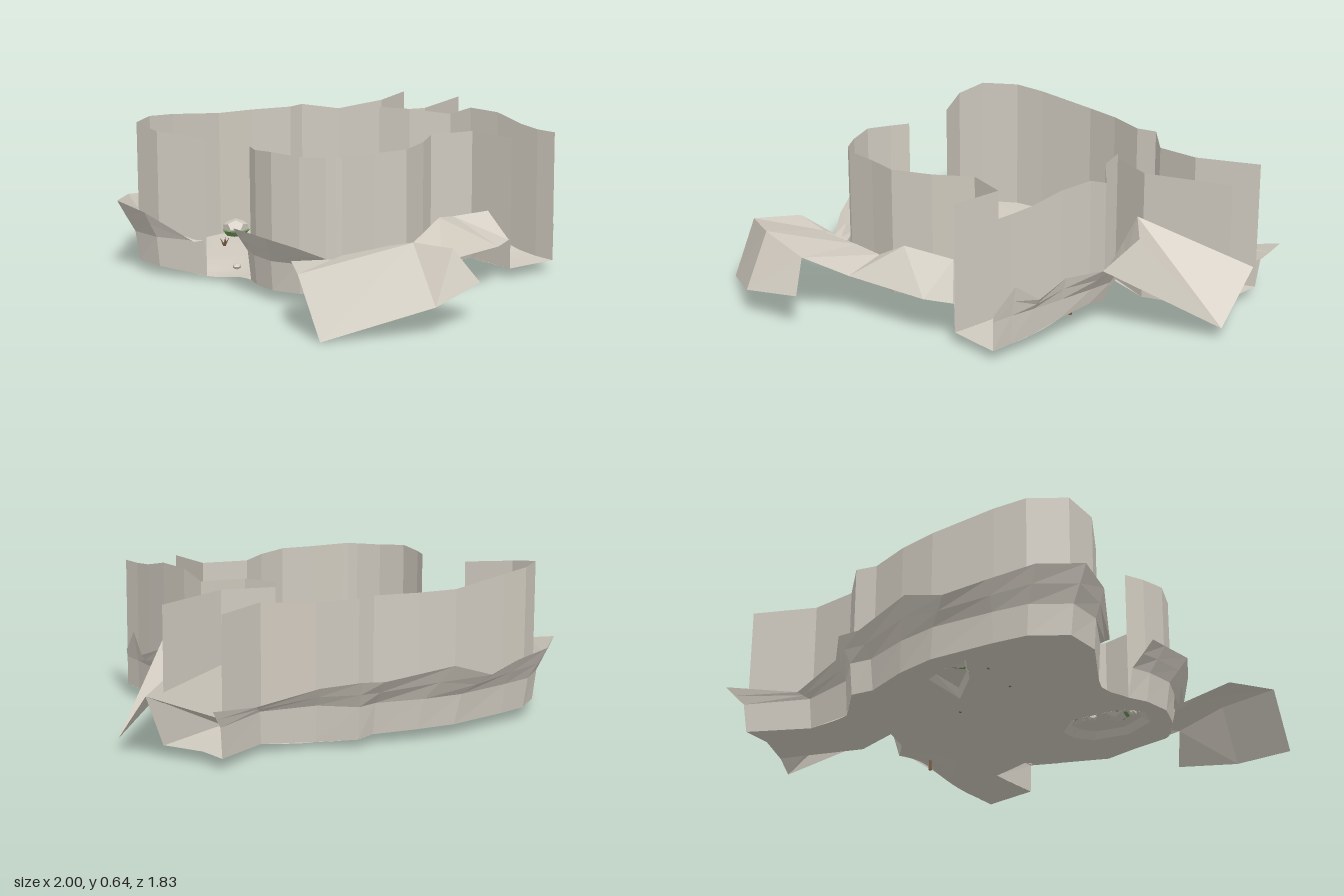
import * as THREE from 'three';

const stone = new THREE.MeshStandardMaterial({ color: 0xd0cabf, flatShading: true, side: THREE.DoubleSide });
const green = new THREE.MeshStandardMaterial({ color: 0x6f9a5a, flatShading: true });
const brown = new THREE.MeshStandardMaterial({ color: 0x7a6248, flatShading: true });
const SKIRT = 0.17;

// Rows along each cliff: inner x, inner z, outer x, outer z, outer height, wall top, (crease x, z, height)
const backCliff = [
  [-0.69, -0.36, -0.75, -0.37, 0.17, 0.6], [-0.79, -0.55, -0.85, -0.57, 0.28, 0.62],
  [-0.78, -0.7, -0.87, -0.73, 0.31, 0.64], [-0.64, -0.79, -0.72, -0.85, 0.3, 0.64],
  [-0.5, -0.81, -0.52, -0.88, 0.28, 0.63], [-0.22, -0.83, -0.34, -0.92, 0.25, 0.6],
  [-0.05, -0.8, -0.15, -0.91, 0.31, 0.6], [0.13, -0.74, 0.14, -0.83, 0.27, 0.6],
  [0.22, -0.76, 0.25, -0.82, 0.28, 0.6], [0.34, -0.64, 0.36, -0.7, 0.25, 0.58],
  [0.57, -0.59, 0.62, -0.63, 0.2, 0.6], [0.83, -0.7, 0.91, -0.757, 0.25, 0.6],
];
const rightCliff = [
  [0.33, -0.36, 0.48, -0.34, 0.2, 0.62], [0.38, -0.22, 0.54, -0.24, 0.42, 0.62],
  [0.5, -0.08, 0.68, -0.08, 0.4, 0.6], [0.51, 0.03, 0.59, 0.04, 0.27, 0.64],
  [0.5, 0.2, 0.53, 0.2, 0.27, 0.64], [0.48, 0.35, 0.52, 0.35, 0.22, 0.61],
  [0.465, 0.46, 0.49, 0.46, 0.3, 0.6], [0.46, 0.56, 0.465, 0.56, 0.2, 0.6],
];
const frontCliff = [
  [0.22, 0.53, 0.21, 0.53, 0.17, 0.6, 0.21, 0.53, 0.17], [0.24, 0.29, 0.21, 0.53, 0.17, 0.6, 0.2, 0.42, 0.28],
  [0.05, 0.23, 0.09, 0.58, 0.17, 0.6, 0.05, 0.36, 0.27], [-0.1, 0.33, -0.3, 0.63, 0.18, 0.6, -0.14, 0.46, 0.31],
  [-0.27, 0.4, -0.41, 0.79, 0.28, 0.6, -0.29, 0.46, 0.23], [-0.42, 0.37, -0.63, 0.79, 0.34, 0.6, -0.43, 0.46, 0.24],
  [-0.58, 0.35, -1, 0.55, 0.24, 0.6, -0.68, 0.45, 0.24], [-0.6, 0.34, -0.88, 0.38, 0.24, 0.6, -0.69, 0.41, 0.22],
  [-0.63, 0.31, -0.66, 0.38, 0.2, 0.6], [-0.69, 0.22, -0.75, 0.26, 0.25, 0.6],
  [-0.73, 0.1, -0.81, 0.15, 0.28, 0.61], [-0.71, -0.02, -0.79, 0, 0.28, 0.6],
  [-0.67, -0.1, -0.78, -0.08, 0.28, 0.6],
];

// Gently rolling ground: higher at the right edge, lower at the left exit and the back right
function floorY(x, z) {
  const bump = (cx, cz, r) => Math.exp(-((x - cx) ** 2 + (z - cz) ** 2) / (r * r));
  return 0.045 + 0.06 * bump(0.52, 0.08, 0.2) - 0.03 * bump(-0.68, -0.34, 0.15)
    - 0.025 * bump(0.35, -0.6, 0.2) - 0.012 * bump(0, -0.2, 0.4);
}

function add(parent, name, geometry, material = stone) {
  const mesh = new THREE.Mesh(geometry, material);
  mesh.name = name;
  parent.add(mesh);
  return mesh;
}

// Surface through a list of equally long point rows
function loft(rows, closed = false) {
  const n = rows[0].length, index = [];
  for (let r = 0; r < rows.length - 1; r++)
    for (let i = 0; i < (closed ? n : n - 1); i++) {
      const a = r * n + i, b = r * n + (i + 1) % n;
      index.push(a, b, a + n, b, b + n, a + n);
    }
  const g = new THREE.BufferGeometry();
  g.setAttribute('position', new THREE.Float32BufferAttribute(rows.flat(2), 3));
  g.setIndex(index);
  g.computeVertexNormals();
  return g;
}

// Upright wall plus the steep skirt and the rim outside it
function cliff(parent, name, rows) {
  const group = new THREE.Group();
  group.name = name;
  parent.add(group);
  const mix = (a, b, t) => a + (b - a) * t;
  const base = rows.map(([x, z]) => [x, floorY(x, z), z]);
  const crease = rows.map(([x, z, ox, oz, oy, , cx = mix(x, ox, 0.6), cz = mix(z, oz, 0.6), cy = mix(SKIRT, oy, 0.5)]) => [cx, cy, cz]);
  const skirt = base.map(([x, , z], i) => [mix(x, crease[i][0], 0.3), SKIRT, mix(z, crease[i][2], 0.3)]);
  add(group, 'wall', loft([base, rows.map(r => [r[0], r[5], r[1]])]));
  add(group, 'rim', loft([base, skirt, crease, rows.map(r => [r[2], r[4], r[3]])]));
}

// Polygon from x, z pairs, split evenly and raised by a height rule
function ground(points, holes, height, splits) {
  const toPlane = list => list.map(([x, z]) => new THREE.Vector2(x, -z));
  const shape = new THREE.Shape(toPlane(points));
  holes.forEach(h => shape.holes.push(new THREE.Path(toPlane(h))));
  const flat = new THREE.ShapeGeometry(shape).toNonIndexed().getAttribute('position');
  let corners = Array.from({ length: flat.count }, (_, i) => [flat.getX(i), -flat.getY(i)]);
  const half = (p, q) => [(p[0] + q[0]) / 2, (p[1] + q[1]) / 2];
  for (let s = 0; s < splits; s++) {
    const next = [];
    for (let i = 0; i < corners.length; i += 3) {
      const [a, b, c] = corners.slice(i, i + 3), ab = half(a, b), bc = half(b, c), ca = half(c, a);
      next.push(a, ab, ca, ab, b, bc, ca, bc, c, ab, bc, ca);
    }
    corners = next;
  }
  const g = new THREE.BufferGeometry();
  g.setAttribute('position', new THREE.Float32BufferAttribute(corners.flatMap(([x, z]) => [x, height(x, z), z]), 3));
  g.computeVertexNormals();
  return g;
}

// Low-poly stone, slightly squashed and turned by its seed
function rock(parent, name, x, y, z, r, seed) {
  const m = add(parent, name, r > 0.05 ? new THREE.DodecahedronGeometry(r) : new THREE.IcosahedronGeometry(r));
  m.scale.set(1, 0.75 + 0.1 * Math.sin(seed * 3), 0.95 + 0.1 * Math.cos(seed * 5));
  m.rotation.y = seed;
  m.position.set(x, y, z);
}

export function createModel() {
  const model = new THREE.Group();
  model.name = 'rockyArena';

  cliff(model, 'backCliff', backCliff);
  cliff(model, 'rightCliff', rightCliff);
  cliff(model, 'frontCliff', frontCliff);

  // Wall along the near side of the right exit
  const exitEdge = [[0.33, -0.36], [0.54, -0.28], [0.9, -0.405]];
  add(model, 'exitWall', loft([0.045, 0.6].map(y => exitEdge.map(([x, z]) => [x, y, z]))));

  // Floor with two low raised beds, leaving the three exits open
  const edge = rows => rows.map(r => [r[0], r[1]]);
  const beds = [
    [[-0.65, 0.06], [-0.58, -0.02], [-0.36, -0.04], [-0.27, 0.04], [-0.27, 0.12], [-0.33, 0.19], [-0.48, 0.22], [-0.62, 0.16]],
    [[-0.33, -0.75], [-0.2, -0.73], [-0.11, -0.69], [-0.11, -0.48], [-0.25, -0.61]],
  ];
  const outline = [
    ...edge(backCliff), [0.83, -0.57], [0.9, -0.4], [0.54, -0.28],
    ...edge(rightCliff), ...edge(frontCliff), [-0.65, -0.2], [-0.66, -0.29],
  ];
  add(model, 'floor', ground(outline, beds, floorY, 3));
  beds.forEach(b => {
    const c = [0, 1].map(k => b.reduce((s, p) => s + p[k], 0) / b.length);
    const inner = b.map(p => p.map((v, k) => c[k] + (v - c[k]) * 0.8));
    add(model, 'bedSide', loft([b.map(([x, z]) => [x, floorY(x, z), z]), inner.map(([x, z]) => [x, 0.07, z])], true));
    add(model, 'bedTop', ground(inner, [], () => 0.07, 0));
  });

  // Front slab dropping from the rim
  add(model, 'frontSlab', loft([
    [[-1, 0.24, 0.55], [-0.63, 0.34, 0.79], [-0.41, 0.28, 0.79]],
    [[-1, 0, 0.67], [-0.63, 0.11, 0.91], [-0.35, 0.15, 0.88]],
  ]));

  // Spur running out beside the right exit
  const peak = [0.54, 0.42, -0.24], shoulder = [0.68, 0.4, -0.08], tip = [1, 0.05, -0.23];
  const tail = [1, 0.26, -0.435], foot = [0.48, 0.045, -0.34], rimEnd = [0.59, 0.27, 0.04];
  add(model, 'spur', loft([[peak, peak, peak, peak], [shoulder, tip, tail, foot]]));
  add(model, 'spurFlank', loft([[rimEnd, rimEnd], [shoulder, tip]]));
  add(model, 'spurFoot', loft([[foot, tail], [[0.54, 0.045, -0.28], [0.9, 0.045, -0.4]]]));

  // Scattered stones
  [[-0.47, -0.74, 0.03], [-0.61, -0.59, 0.03], [0.02, -0.56, 0.03], [-0.56, -0.32, 0.02], [-0.23, -0.07, 0.022],
    [-0.15, 0.11, 0.024], [-0.43, 0.01, 0.02], [-0.59, 0.07, 0.02]]
    .forEach(([x, z, r], i) => rock(model, 'stone', x, floorY(x, z) + r * 0.7, z, r, i + 1));

  // Boulders with a green mossy collar; two stand on stalks
  [[-0.25, -0.69, 0.06, 0.1], [-0.51, 0.07, 0.065, 0.1], [-0.35, 0.04, 0.06, 0.1],
    [0.28, -0.21, 0.055, 0.16], [0.45, 0.08, 0.035, 0.13]].forEach(([x, z, r, y], i) => {
    rock(model, 'boulder', x, y, z, r, i + 4);
    add(model, 'moss', new THREE.CylinderGeometry(r * 1.05, r * 0.7, r * 0.4, 7), green)
      .position.set(x - 0.006, y - r * 0.3, z + 0.008);
    if (y > 0.1)
      add(model, 'stalk', new THREE.CylinderGeometry(0.005, 0.008, y - 0.05, 5), brown).position.set(x, (y + 0.05) / 2, z);
  });

  // Small dry twigs
  [[-0.34, -0.46, 0.04], [-0.36, -0.64, 0.03], [-0.04, -0.38, 0.03]].forEach(([x, z, len]) => {
    for (let i = 0; i < 5; i++) {
      const g = new THREE.ConeGeometry(0.006, len * 1.5, 4).translate(0, len * 0.75, 0).rotateZ(0.55).rotateY(i * 1.257);
      add(model, 'twig', g, brown).position.set(x, floorY(x, z), z);
    }
  });
  return model;
}
